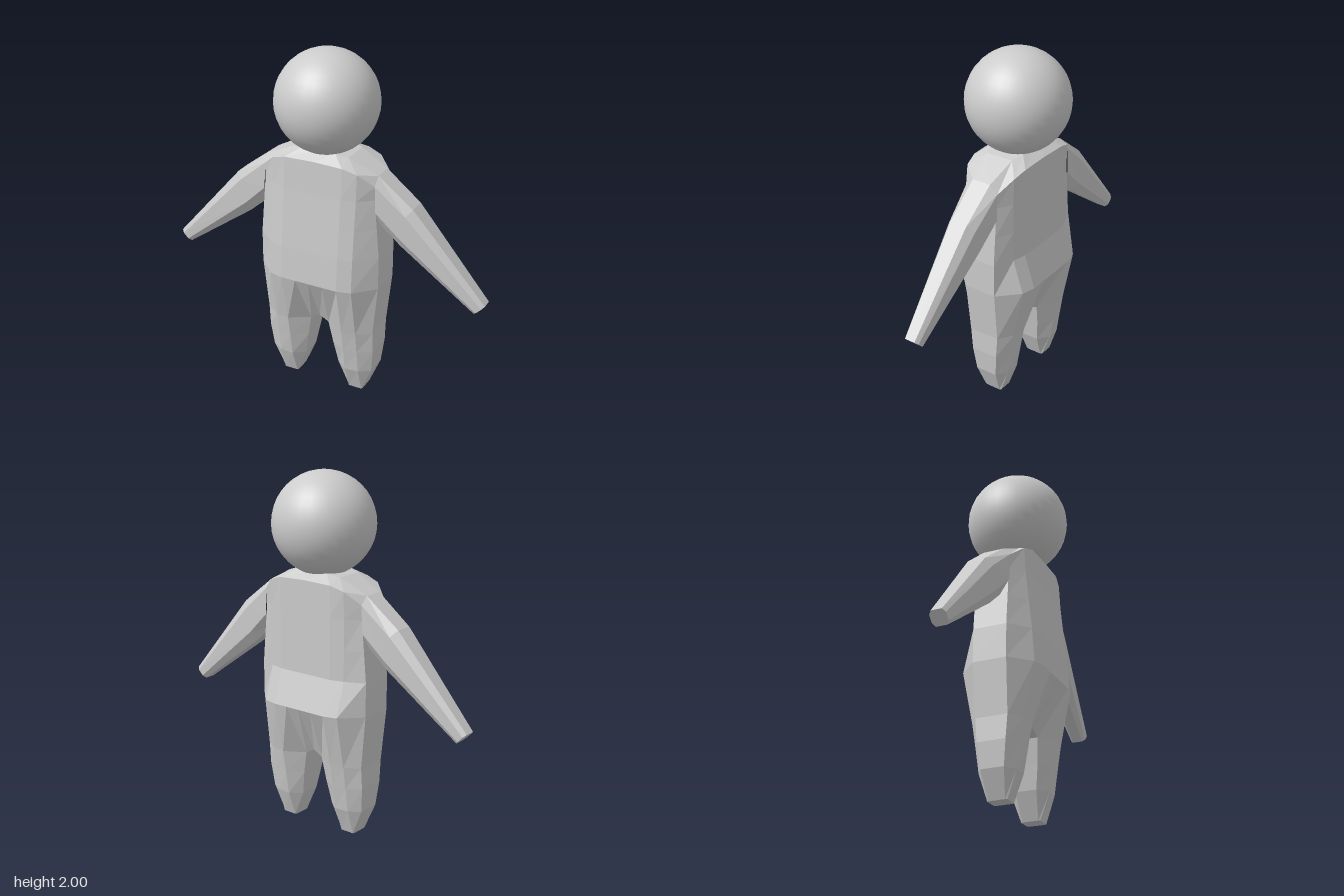
import * as THREE from 'three';

const material = new THREE.MeshStandardMaterial({ color: 0xcccccc, flatShading: true });
const smooth = new THREE.MeshStandardMaterial({ color: 0xcccccc });

// Skins quads between successive cross-sections, optionally closed round and capped
function loft(name, rings, { closed = true, capStart = false, capEnd = false } = {}) {
  const pos = [];
  const tri = (a, b, c) => pos.push(...a, ...b, ...c);
  const n = rings[0].length;
  for (let r = 0; r + 1 < rings.length; r++) {
    const a = rings[r], b = rings[r + 1];
    for (let i = 0; i < (closed ? n : n - 1); i++) {
      const j = (i + 1) % n;
      tri(a[i], a[j], b[j]);
      tri(a[i], b[j], b[i]);
    }
  }
  // Caps are strips joining each point to its opposite number
  const cap = (p, flip) => {
    for (let i = 0; i < n / 2 - 1; i++) {
      const q = [p[i], p[i + 1], p[n - 2 - i], p[n - 1 - i]];
      if (flip) q.reverse();
      tri(q[0], q[1], q[2]);
      tri(q[0], q[2], q[3]);
    }
  };
  if (capStart) cap(rings[0], true);
  if (capEnd) cap(rings[rings.length - 1], false);
  const geometry = new THREE.BufferGeometry();
  geometry.setAttribute('position', new THREE.Float32BufferAttribute(pos, 3));
  geometry.computeVertexNormals();
  const mesh = new THREE.Mesh(geometry, material);
  mesh.name = name;
  return mesh;
}

const mirrorX = ring => ring.map(([x, y, z]) => [-x, y, z]).reverse();

// Completes a left half (front centre to back centre) into a symmetric ring
// that starts at the far right so opposite points pair front to back
function fullRing(half) {
  const k = half.length / 2;
  const other = mirrorX(half);
  return [...other.slice(k, -1), ...half, ...other.slice(1, k)];
}

function torsoRing([y, side, front, back]) {
  return fullRing([
    [0, y, front], [0.17, y, front], [0.25, y, front - 0.02], [side, y, 0.095],
    [side, y, -0.095], [0.25, y, -back + 0.02], [0.17, y, -back], [0, y, -back],
  ]);
}

// Adds the mirrored back to a front quarter
const frontAndBack = q => [...q, ...q.map(([x, y, z]) => [x, y, -z]).reverse()];

function legRing([y, inner, outer, front, innerZ, outerZ, corner]) {
  return [
    ...frontAndBack([[0.17, y, front], [0.25, y, corner], [outer, y, outerZ]]),
    [inner, y, -innerZ], [inner, y, innerZ],
  ];
}

// Arm section: top, upper ridge, lower ridge, underside as [x, y, halfDepth]
const armRing = quarter => frontAndBack(quarter);

export function createModel() {
  const model = new THREE.Group();

  const head = new THREE.Mesh(new THREE.SphereGeometry(0.284, 32, 20), smooth);
  head.name = 'head';
  head.position.y = 1.716;
  model.add(head);

  // Torso with sloping shoulders and a flat yoke under the head
  const torso = [
    [0.72, 0.36, 0.225, 0.225],
    [0.91, 0.36, 0.213, 0.165],
    [1.08, 0.345, 0.195, 0.165],
    [1.25, 0.33, 0.178, 0.165],
  ].map(torsoRing);
  torso.push(fullRing(frontAndBack(
    [[0, 1.43, 0.165], [0.17, 1.425, 0.165], [0.25, 1.4, 0.15], [0.33, 1.33, 0.1]])));
  torso.push(fullRing(frontAndBack(
    [[0, 1.47, 0.1], [0.1, 1.47, 0.1], [0.17, 1.455, 0.08], [0.33, 1.375, 0.055]])));
  model.add(loft('torso', torso, { capEnd: true }));

  // Legs: y, inner x, outer x, front z, inner z, outer z, outer corner z
  const leg = [
    [0, 0.165, 0.255, 0.055, 0.045, 0.045, 0.055],
    [0.15, 0.105, 0.315, 0.11, 0.06, 0.065, 0.105],
    [0.29, 0.08, 0.33, 0.135, 0.08, 0.08, 0.125],
    [0.42, 0.055, 0.33, 0.158, 0.09, 0.09, 0.145],
    [0.72, 0.085, 0.36, 0.225, 0.225, 0.095, 0.205],
  ].map(legRing);

  // Arms: shoulder, elbow, wrist
  const arm = [
    [[0.33, 1.375, 0.055], [0.33, 1.33, 0.1], [0.335, 1.18, 0.1], [0.335, 1.1, 0.05]],
    [[0.53, 1.22, 0.05], [0.5, 1.185, 0.085], [0.47, 1.05, 0.085], [0.46, 0.99, 0.045]],
    [[0.95, 0.74, 0.03], [0.935, 0.725, 0.045], [0.905, 0.695, 0.045], [0.89, 0.68, 0.03]],
  ].map(armRing);

  model.add(loft('leftLeg', leg, { capStart: true }));
  model.add(loft('rightLeg', leg.map(mirrorX), { capStart: true }));
  model.add(loft('leftArm', arm, { capEnd: true }));
  model.add(loft('rightArm', arm.map(mirrorX), { capEnd: true }));

  // Crotch panel running from the seat, between the legs, to the belly
  const row = (x, y, midY, z) => [[-x, y, z], [0, midY, z], [x, y, z]];
  model.add(loft('crotch', [
    row(0.085, 0.72, 0.72, -0.225), row(0.055, 0.42, 0.45, -0.09),
    row(0.055, 0.42, 0.45, 0.09), row(0.085, 0.72, 0.72, 0.225),
  ], { closed: false }));

  return model;
}
